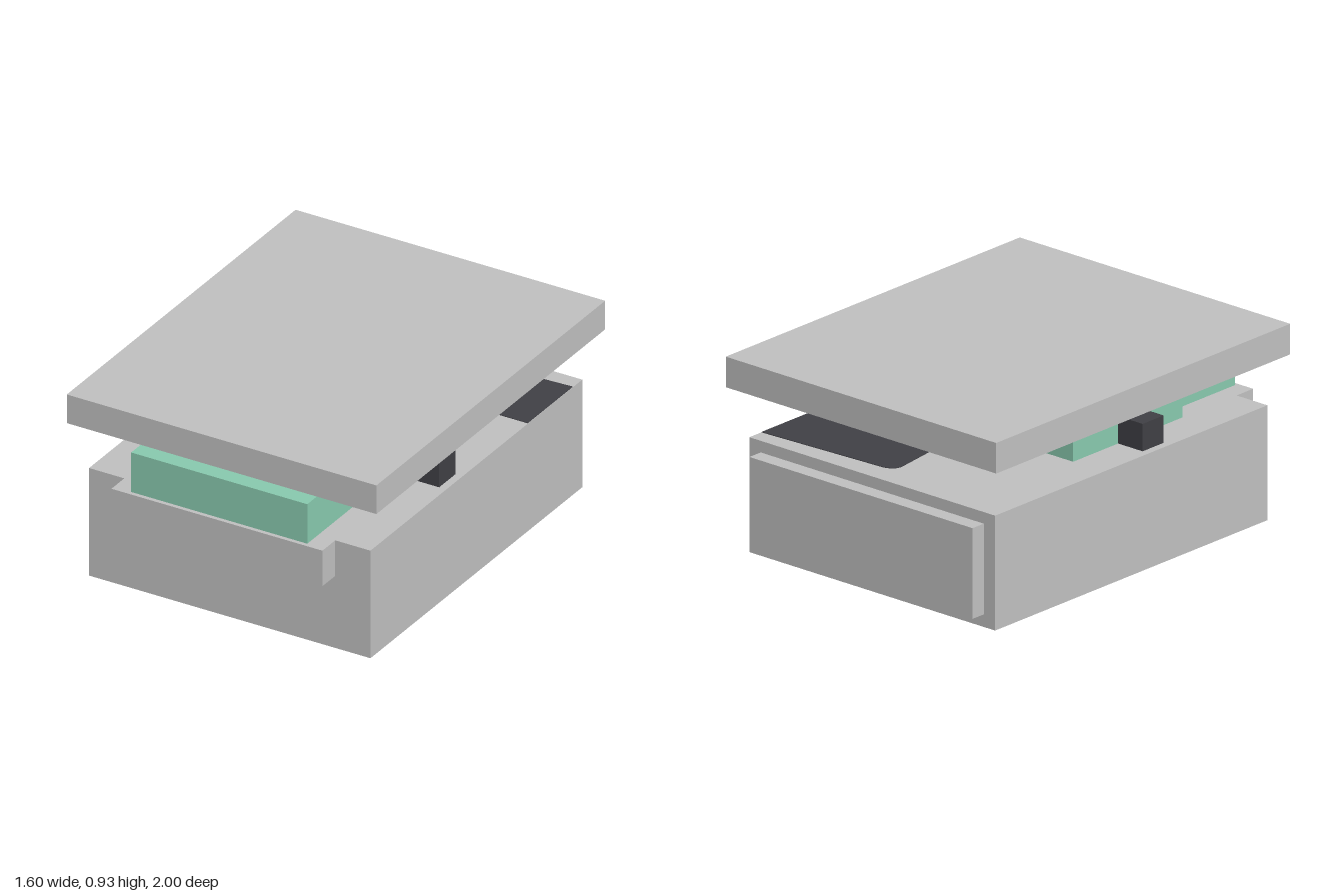
import * as THREE from 'three';

const material = (name, color) => {
  const m = new THREE.MeshStandardMaterial({ color });
  m.name = name;
  return m;
};

export function createModel() {
  const model = new THREE.Group();
  const grey = material('light grey', 0xbfbfbf);
  const green = material('mint green', 0x88c9ae);
  const dark = material('charcoal', 0x404045);

  // Adds a box given its extents along each axis
  const box = (name, mat, [x0, x1], [y0, y1], [z0, z1]) => {
    const mesh = new THREE.Mesh(new THREE.BoxGeometry(x1 - x0, y1 - y0, z1 - z0), mat);
    mesh.position.set((x0 + x1) / 2, (y0 + y1) / 2, (z0 + z1) / 2);
    mesh.name = name;
    model.add(mesh);
  };

  // Main body with its front ledge and rear panel
  box('base', grey, [-0.727, 0.727], [0, 0.545], [-0.925, 0.89]);
  box('frontLedge', grey, [-0.545, 0.545], [0.365, 0.545], [0.89, 1]);
  box('rearPanel', grey, [-0.66, 0.66], [0.06, 0.49], [-1, -0.925]);

  // Overhanging slab roof
  box('roof', grey, [-0.8, 0.8], [0.785, 0.93], [-1, 0.96]);

  // Core that carries the roof, and its lower front extension
  box('core', green, [-0.545, 0.545], [0.545, 0.785], [-0.2, 0.53]);
  box('coreFront', green, [-0.455, 0.455], [0.545, 0.745], [0.53, 0.98]);

  // Small blocks on both sides of the core and behind it
  for (const [side, name] of [[1, 'leftBlock'], [-1, 'rightBlock']]) {
    const xs = [side * 0.545, side * 0.69].sort((a, b) => a - b);
    box(name, dark, xs, [0.545, 0.675], [0.1, 0.24]);
  }
  box('rearBlock', dark, [-0.073, 0.073], [0.545, 0.675], [-0.45, -0.31]);

  // Thin dark inlay on the rear of the base top, with one rounded corner
  const outline = new THREE.Shape();
  outline.moveTo(0.725, 0.845);
  outline.lineTo(0.725, 0.46);
  outline.lineTo(0.02, 0.46);
  outline.lineTo(-0.02, 0.75);
  outline.quadraticCurveTo(-0.02, 0.8, 0.04, 0.81);
  outline.closePath();
  const inlay = new THREE.Mesh(
    new THREE.ExtrudeGeometry(outline, { depth: 0.004, bevelEnabled: false }), dark);
  inlay.rotation.x = -Math.PI / 2;
  inlay.position.y = 0.544;
  inlay.name = 'rearInlay';
  model.add(inlay);

  return model;
}
